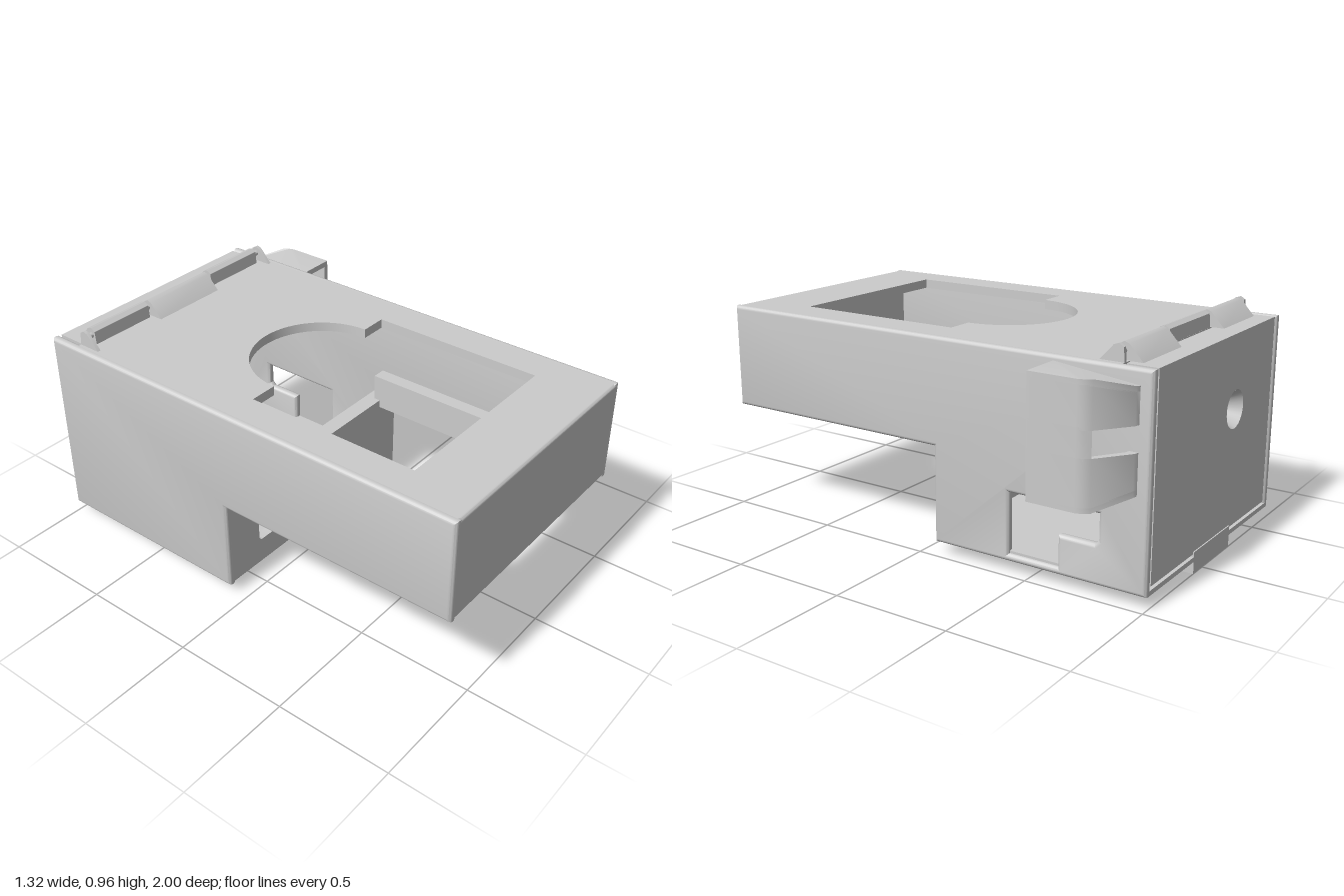
import * as THREE from 'three';
import { toCreasedNormals } from 'three/addons/utils/BufferGeometryUtils.js';

const mat = new THREE.MeshStandardMaterial({ color: 0xcccccc, side: THREE.DoubleSide });
const R = 0.015; // edge rounding

const poly = (pts, C = THREE.Shape) => new C(pts.map(p => new THREE.Vector2(p[0], p[1])));
const rect = (a, b, c, d, C) => poly([[a, c], [b, c], [b, d], [a, d]], C);

function roundRect(a, b, c, d, r) {
  const p = new THREE.Path();
  p.absarc(b - r, d - r, r, 0, Math.PI / 2);
  p.absarc(a + r, d - r, r, Math.PI / 2, Math.PI);
  p.absarc(a + r, c + r, r, Math.PI, Math.PI * 1.5);
  p.absarc(b - r, c + r, r, Math.PI * 1.5, Math.PI * 2);
  p.closePath();
  return p;
}

function circle(x, y, r) {
  const p = new THREE.Path();
  p.absarc(x, y, r, 0, Math.PI * 2);
  return p;
}

export function createModel() {
  const model = new THREE.Group();
  model.name = 'hingedHousing';

  const add = (name, geo) => {
    const m = new THREE.Mesh(toCreasedNormals(geo, 0.6), mat);
    m.name = name;
    model.add(m);
    return m;
  };
  const box = (name, x0, x1, y0, y1, z0, z1) => {
    const g = new THREE.BoxGeometry(x1 - x0, y1 - y0, z1 - z0);
    g.translate((x0 + x1) / 2, (y0 + y1) / 2, (z0 + z1) / 2);
    return add(name, g);
  };
  // Extrude a shape between a0 and a1 along one axis: x takes (z, y), y takes (x, z), z takes (x, y)
  const slab = (name, axis, shape, a0, a1, bevel = 0) => {
    const g = new THREE.ExtrudeGeometry(shape, {
      depth: a1 - a0 - 2 * bevel, curveSegments: 24, bevelEnabled: bevel > 0,
      bevelThickness: bevel, bevelSize: bevel, bevelOffset: -bevel, bevelSegments: 3,
    });
    g.translate(0, 0, bevel);
    if (axis === 'x') g.rotateY(-Math.PI / 2).translate(a1, 0, 0);
    else if (axis === 'y') g.rotateX(Math.PI / 2).translate(0, a1, 0);
    else g.translate(0, 0, a0);
    return add(name, g);
  };
  const rod = (name, x0, x1, y, z, r) => {
    const g = new THREE.CylinderGeometry(r, r, x1 - x0, 20);
    g.rotateZ(Math.PI / 2).translate((x0 + x1) / 2, y, z);
    return add(name, g);
  };

  // Side walls, the left one with a stepped opening
  const profile = () => poly([[-1, 0.05], [-0.06, 0.05], [-0.06, 0.45], [1, 0.45], [1, 0.89], [-1, 0.89]]);
  slab('rightWall', 'x', profile(), -0.66, -0.62, R);
  const left = profile();
  left.holes.push(poly([[-0.41, 0.08], [-0.41, 0.33], [-0.8, 0.33], [-0.8, 0.225], [-0.785, 0.21],
    [-0.63, 0.21], [-0.63, 0.08]], THREE.Path));
  slab('leftWall', 'x', left, 0.44, 0.48, R);

  // Plates between the walls
  const X0 = -0.66 + R, X1 = 0.48 - R;
  const top = rect(X0, X1, -0.865, 1 - R);
  const hole = new THREE.Path();
  hole.moveTo(-0.5, 0.72);
  hole.lineTo(-0.5, -0.03);
  hole.lineTo(-0.38, -0.03);
  hole.absarc(-0.09, -0.03, 0.29, Math.PI, Math.PI * 2);
  hole.lineTo(0.315, -0.03);
  hole.lineTo(0.315, 0.72);
  hole.closePath();
  top.holes.push(hole);
  slab('topPlate', 'y', top, 0.85, 0.89);

  const under = rect(X0, X1, -0.1, 1 - R);
  under.holes.push(rect(-0.5, 0.315, -0.03, 0.72, THREE.Path));
  for (const [a, b] of [[-0.58, -0.2], [0.02, 0.4]]) under.holes.push(rect(a, b, 0.79, 0.92, THREE.Path));
  slab('armFloor', 'y', under, 0.45, 0.485);
  box('frontPlate', X0, X1, 0.45 + R, 0.89 - R, 0.96, 1);

  const lowerFront = rect(X0, X1, 0.05 + R, 0.47);
  lowerFront.holes.push(roundRect(-0.47, -0.24, 0.17, 0.34, 0.02));
  slab('lowerFrontPlate', 'z', lowerFront, -0.1, -0.06);

  const floor = rect(X0, X1, -0.955, -0.06 - R);
  for (const x of [-0.58, 0.4]) for (const z of [-0.85, -0.16]) floor.holes.push(circle(x, z, 0.015));
  slab('boxFloor', 'y', floor, 0.05, 0.09);
  box('floorLedge', X0, X1, 0.05, 0.07, -1, -0.95);

  // Rounded long edges
  for (const [y, z] of [[0.89 - R, 1 - R], [0.45 + R, 1 - R], [0.05 + R, -0.06 - R]])
    rod('roundedEdge', X0, X1, y, z, R);

  // Inner ridges beside the opening and stops behind the lid
  for (const [a, b] of [[-0.56, -0.5], [0.315, 0.375]]) box('innerRidge', a, b, 0.48, 0.6, -0.06, 0.74);
  for (const [a, b] of [[-0.63, -0.6], [0.42, 0.45]]) box('lidStop', a, b, 0.08, 0.86, -0.95, -0.93);

  // Lid with a tapered hole, a top flange and a bottom latch
  const lid = rect(-0.613, 0.433, 0.08, 0.888);
  lid.holes.push(circle(-0.25, 0.58, 0.08));
  slab('lid', 'z', lid, -0.995, -0.955);
  const cone = new THREE.CylinderGeometry(0.05, 0.08, 0.06, 32, 1, true);
  cone.rotateX(Math.PI / 2).translate(-0.25, 0.58, -0.965);
  add('lidHole', cone);
  box('lidFlange', -0.613, 0.433, 0.85, 0.888, -0.995, -0.87);
  box('latchTab', -0.25, 0.08, 0.005, 0.09, -1, -0.96);
  slab('latchHook', 'x', poly([[-1, 0], [-0.87, 0], [-0.905, 0.037], [-1, 0.037]]), -0.25, 0.08);
  box('latchRib', -0.14, -0.02, 0.03, 0.055, -0.94, -0.91);

  // Hinge
  rod('hingePin', -0.62, 0.44, 0.925, -0.84, 0.012);
  const knuckle = (name, x0, x1, zFar) => slab(name, 'x', poly([[zFar, 0.885], [-0.84 + Math.sign(zFar + 0.84) * 0.02, 0.95],
    [-0.84, 0.957], [-0.84 - Math.sign(zFar + 0.84) * 0.02, 0.945], [-0.84 - Math.sign(zFar + 0.84) * 0.025, 0.885]]), x0, x1);
  knuckle('lidKnuckle', -0.58, -0.28, -0.92);
  knuckle('lidKnuckle', 0.1, 0.4, -0.92);
  knuckle('bodyKnuckle', -0.265, 0.085, -0.76);
  knuckle('hingeLug', -0.62, -0.605, -0.76);
  knuckle('hingeLug', 0.425, 0.44, -0.76);

  // Side bracket: open to the front, with a slot through its sloped back
  const outer = [[0.655, -0.6], [0.655, -0.8], [0.648, -0.825], [0.63, -0.85], [0.5, -0.945], [0.48, -0.95]];
  const inner = [[0.48, -0.915], [0.5, -0.91], [0.61, -0.835], [0.63, -0.81], [0.635, -0.79], [0.635, -0.6]];
  const shell = () => poly([...outer, ...inner]);
  const solid = () => poly([...outer, [0.48, -0.6]]);
  const parts = [
    slab('bracketShell', 'y', shell(), 0.41, 0.59),
    slab('bracketShell', 'y', shell(), 0.69, 0.85),
    slab('bracketEnd', 'y', solid(), 0.39, 0.415),
    slab('bracketEnd', 'y', solid(), 0.845, 0.87),
  ];
  // Draw the outer ends of the sloped back inward
  for (const m of parts) {
    const p = m.geometry.attributes.position;
    for (let i = 0; i < p.count; i++) {
      const y = p.getY(i), t = Math.max(0, (-p.getZ(i) - 0.85) / 0.1);
      if (y < 0.42) p.setY(i, y + 0.04 * t);
      if (y > 0.84) p.setY(i, y - 0.04 * t);
    }
    m.geometry.computeVertexNormals();
    m.geometry = toCreasedNormals(m.geometry, 0.6);
  }
  slab('bracketOuterWall', 'y', poly([...outer.slice(0, 4), [0.61, -0.835], ...inner.slice(3)]), 0.58, 0.7);

  return model;
}
